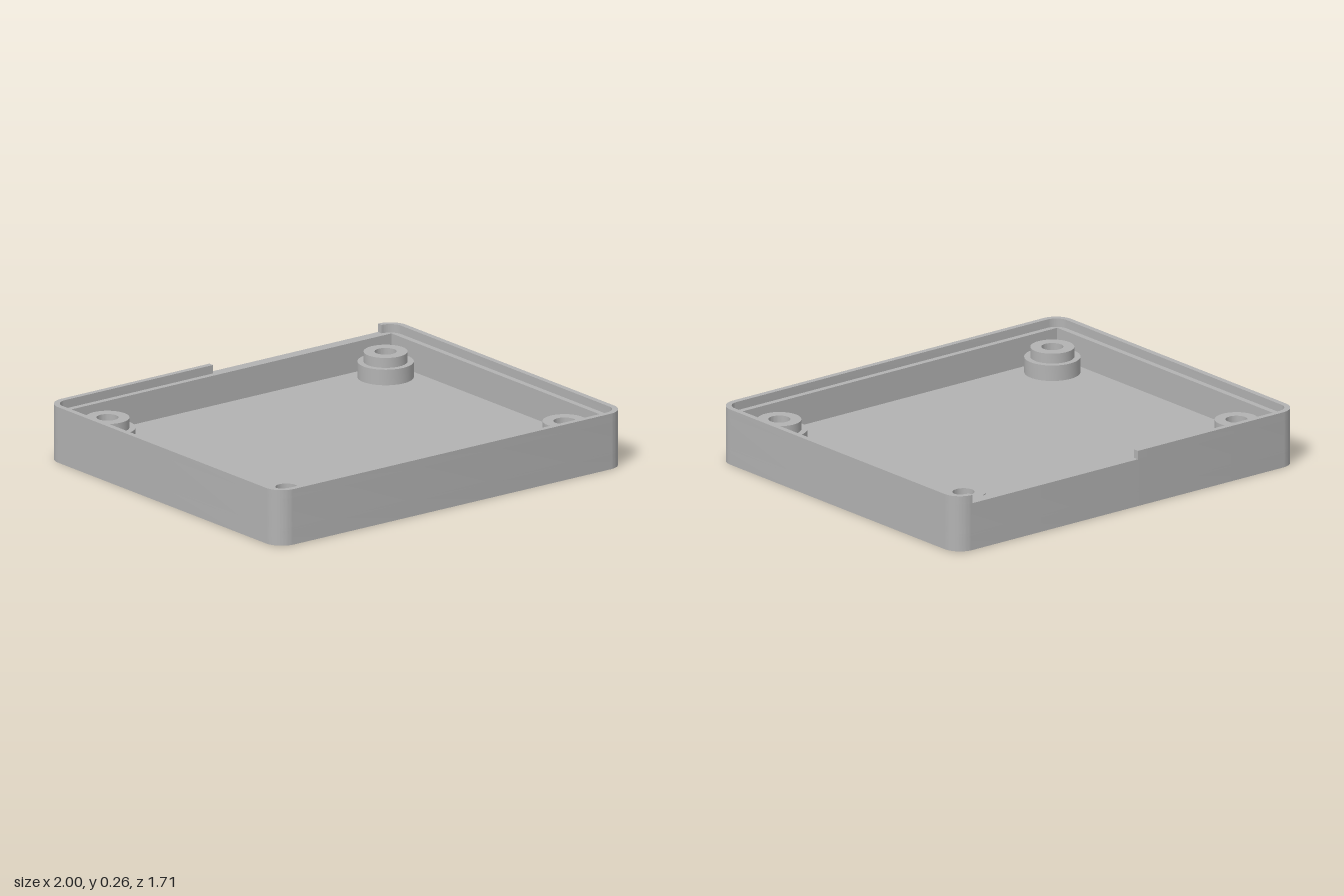
import * as THREE from 'three';
import { toCreasedNormals } from 'three/addons/utils/BufferGeometryUtils.js';

const HALF_W = 1, HALF_D = 0.855, CORNER = 0.09;
const WALL = 0.055, LIP = 0.027;
const COUNTERBORE = 0.07, FLOOR = 0.082, SHELF = 0.224, TOP = 0.264;
const NOTCH = [-0.06, 0.59];
const SCREWS = [-0.8, 0.8].flatMap(x => [-0.658, 0.658].map(y => [x, y]));

// Rounded rectangle traced clockwise from startX on the back edge to endX on the same edge
function outline(w, d, r, startX, endX) {
  const p = new THREE.Path();
  p.moveTo(startX, d);
  p.absarc(w - r, d - r, r, Math.PI / 2, 0, true);
  p.absarc(w - r, r - d, r, 0, -Math.PI / 2, true);
  p.absarc(r - w, r - d, r, -Math.PI / 2, -Math.PI, true);
  p.absarc(r - w, d - r, r, Math.PI, Math.PI / 2, true);
  p.lineTo(endX, d);
  return p.getPoints(10);
}

function circle(x, y, r) {
  return new THREE.Path().absarc(x, y, r, 0, Math.PI * 2, false);
}

function disc(x, y, r) {
  return new THREE.Shape().absarc(x, y, r, 0, Math.PI * 2, false);
}

export function createModel() {
  const group = new THREE.Group();
  const grey = new THREE.MeshStandardMaterial({ color: 0xb2b2b2 });
  grey.name = 'grey plastic';

  // Extrude a plan shape upwards between two heights
  function layer(name, shape, y0, y1) {
    let geo = new THREE.ExtrudeGeometry(shape, { depth: y1 - y0, bevelEnabled: false, curveSegments: 24 });
    geo.rotateX(-Math.PI / 2);
    geo.translate(0, y0, 0);
    geo = toCreasedNormals(geo, 0.6);
    const mesh = new THREE.Mesh(geo, grey);
    mesh.name = name;
    group.add(mesh);
  }

  const plan = () => new THREE.Shape(outline(HALF_W, HALF_D, CORNER, 0, -0.01));

  // Floor: wide counterbores below, narrow screw holes above
  const lower = plan();
  lower.holes = SCREWS.map(([x, y]) => circle(x, y, 0.085));
  layer('floorUnderside', lower, 0, COUNTERBORE);
  const upper = plan();
  upper.holes = SCREWS.map(([x, y]) => circle(x, y, 0.05));
  layer('floor', upper, COUNTERBORE, FLOOR);

  // Walls around a square-cornered cavity, up to the shelf
  const walls = plan();
  const cw = HALF_W - WALL, cd = HALF_D - WALL;
  walls.holes = [new THREE.Path([[-cw, -cd], [cw, -cd], [cw, cd], [-cw, cd]].map(c => new THREE.Vector2(...c)))];
  layer('walls', walls, FLOOR, SHELF);

  // Thin rim, interrupted by the notch at the back
  const outer = outline(HALF_W, HALF_D, CORNER, NOTCH[1], NOTCH[0]);
  const inner = outline(HALF_W - LIP, HALF_D - LIP, CORNER - LIP, NOTCH[1], NOTCH[0]);
  layer('rim', new THREE.Shape([...outer, ...inner.reverse()]), SHELF, TOP);

  // Stepped screw bosses
  for (const [x, y] of SCREWS) {
    for (const [name, r, y0, y1] of [['bossBase', 0.128, FLOOR, 0.156], ['bossCollar', 0.1, 0.156, 0.203]]) {
      const ring = disc(x, y, r);
      ring.holes = [circle(x, y, 0.05)];
      layer(name, ring, y0, y1);
    }
  }
  return group;
}
